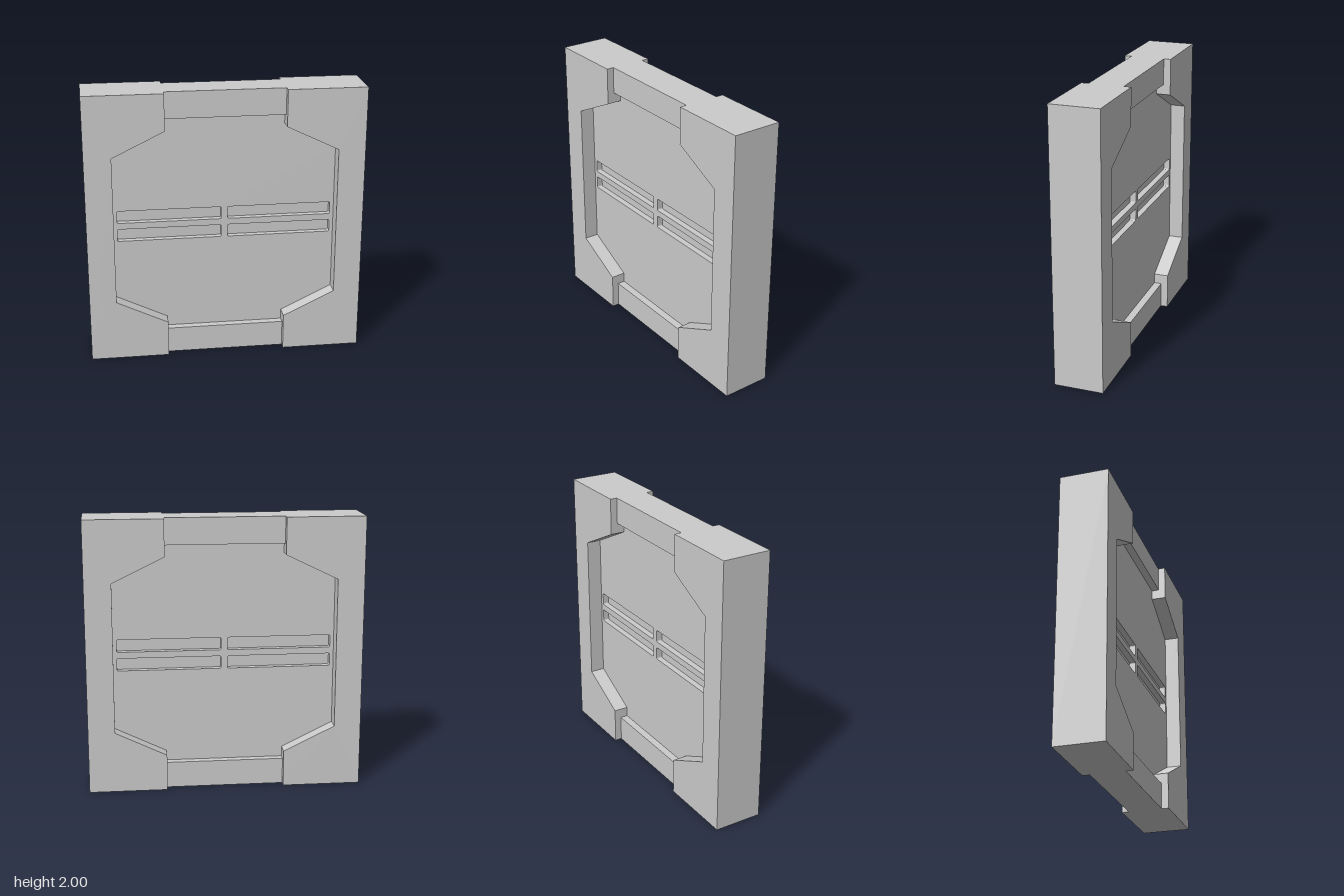
import * as THREE from 'three';

const FRAME_Z = 0.178;  // half thickness of the side frames
const BRIDGE_Z = 0.126; // half thickness of the top and bottom bridges
const PANEL_Z = 0.07;   // half thickness of the recessed panel
const CORE_Z = 0.025;   // half thickness at the slot floors

const BRIDGE_X = 0.43, BRIDGE_H = 0.193;

// Inner edge of one side frame, bottom to top
const innerEdge = [[BRIDGE_X, 0.268], [0.805, 0.45], [0.805, 1.55], [BRIDGE_X, 1.732]];

const material = new THREE.MeshStandardMaterial({ color: 0xcccccc, flatShading: true });

function polygon(points) {
  return new THREE.Shape(points.map(([x, y]) => new THREE.Vector2(x, y)));
}

function extrude(shape, z0, z1) {
  const g = new THREE.ExtrudeGeometry(shape, { depth: z1 - z0, bevelEnabled: false, curveSegments: 3 });
  return g.translate(0, 0, z0);
}

// Long slot outline with slightly rounded corners
function slotPath(x0, y0, x1, y1, r = 0.01) {
  const p = new THREE.Path();
  p.moveTo(x0 + r, y0);
  p.lineTo(x1 - r, y0).quadraticCurveTo(x1, y0, x1, y0 + r);
  p.lineTo(x1, y1 - r).quadraticCurveTo(x1, y1, x1 - r, y1);
  p.lineTo(x0 + r, y1).quadraticCurveTo(x0, y1, x0, y1 - r);
  p.lineTo(x0, y0 + r).quadraticCurveTo(x0, y0, x0 + r, y0);
  return p;
}

export function createModel() {
  const model = new THREE.Group();
  model.name = 'wallPanel';
  const add = (name, geometry) => {
    const mesh = new THREE.Mesh(geometry, material);
    mesh.name = name;
    model.add(mesh);
    return mesh;
  };

  // Thick side frames, one turned half round to make the other
  const side = polygon([[BRIDGE_X, 0], [1, 0], [1, 2], [BRIDGE_X, 2], ...[...innerEdge].reverse()]);
  add('leftFrame', extrude(side, -FRAME_Z, FRAME_Z));
  add('rightFrame', extrude(side, -FRAME_Z, FRAME_Z)).rotation.y = Math.PI;

  // Bridges joining the frames at the bottom and top
  for (const [name, y] of [['bottomBridge', BRIDGE_H / 2], ['topBridge', 2 - BRIDGE_H / 2]]) {
    add(name, new THREE.BoxGeometry(BRIDGE_X * 2, BRIDGE_H, BRIDGE_Z * 2).translate(0, y, 0));
  }

  // Recessed panel: a solid core with a slotted skin on each face
  const half = [[BRIDGE_X, BRIDGE_H], ...innerEdge, [BRIDGE_X, 2 - BRIDGE_H]];
  const outline = [...half, ...[...half].reverse().map(([x, y]) => [-x, y])];
  add('panelCore', extrude(polygon(outline), -CORE_Z, CORE_Z));

  const skin = polygon(outline);
  for (const x0 of [-0.778, 0.024]) {
    for (const y0 of [0.887, 1.026]) {
      skin.holes.push(slotPath(x0, y0, x0 + 0.754, y0 + 0.092));
    }
  }
  add('frontSkin', extrude(skin, CORE_Z, PANEL_Z));
  add('backSkin', extrude(skin, -PANEL_Z, -CORE_Z));

  return model;
}
